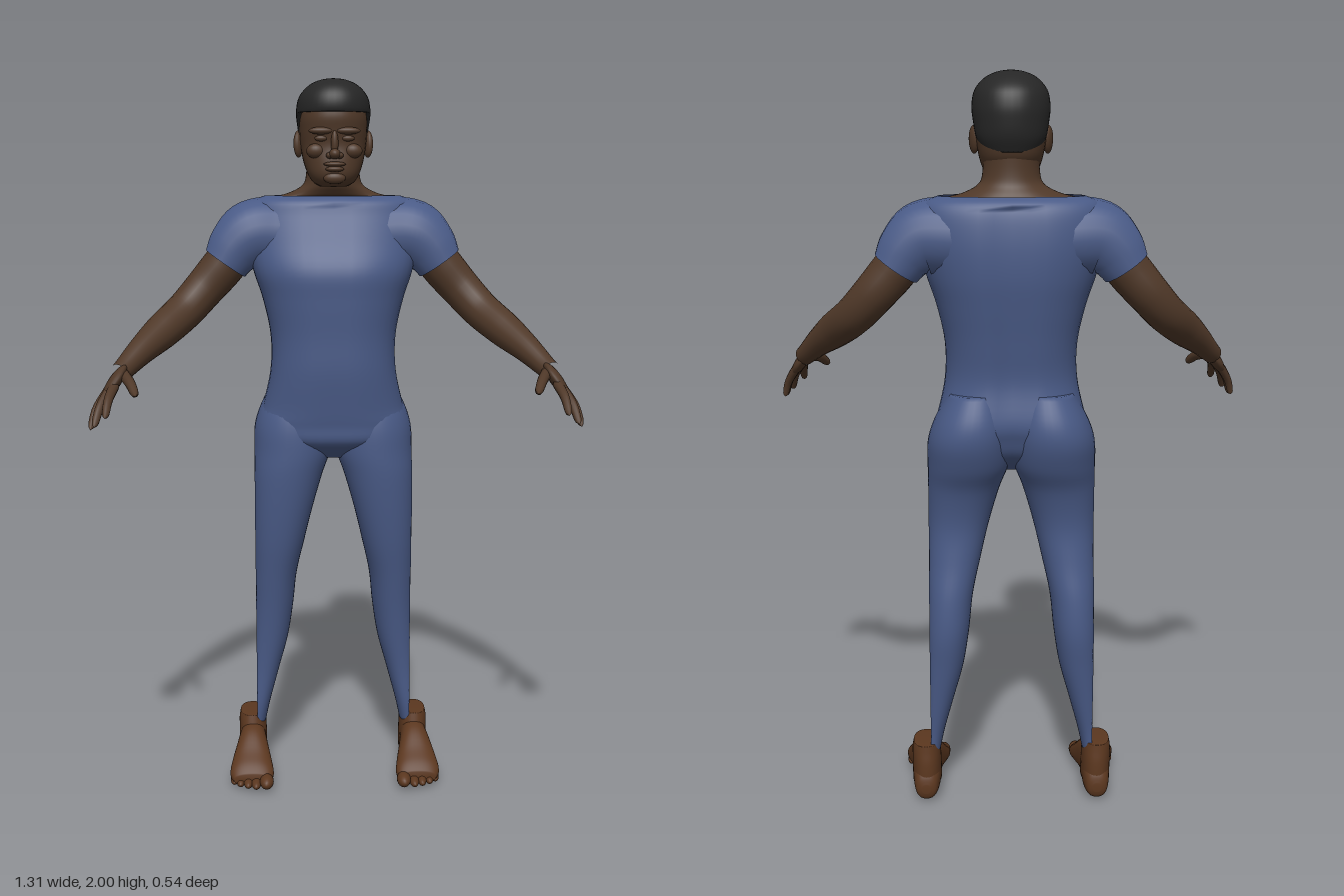
import * as THREE from 'three';

const mat = (name, color, side = THREE.FrontSide) => {
  const m = new THREE.MeshStandardMaterial({ color, side });
  m.name = name;
  return m;
};

// Smooth value of a column of control rows at parameter t (in rows)
function sample(rows, t) {
  const i = Math.min(Math.floor(t), rows.length - 2), f = t - i;
  const at = (k) => rows[Math.max(0, Math.min(rows.length - 1, k))];
  return rows[0].map((_, c) => {
    const [a, b, d, e] = [at(i - 1)[c], at(i)[c], at(i + 1)[c], at(i + 2)[c]];
    return b + 0.5 * f * (d - a + f * (2 * a - 5 * b + 4 * d - e + f * (3 * (b - d) + e - a)));
  });
}

// Stack of rounded rings; each row is [y, xMin, xMax, zFront, zBack], rising in y
function loft(rows, { power = 2.3, cap = true, shape = null, n = 40, steps = 5 } = {}) {
  const pos = [], idx = [], rings = (rows.length - 1) * steps + 1;
  const bend = (v) => Math.sign(v) * Math.abs(v) ** (2 / power);
  for (let i = 0; i < rings; i++) {
    const [y, x0, x1, zf, zb] = sample(rows, i / steps);
    for (let j = 0; j < n; j++) {
      const a = (j / n) * Math.PI * 2;
      const p = new THREE.Vector3((x0 + x1) / 2 + bend(Math.cos(a)) * (x1 - x0) / 2, y,
        (zf + zb) / 2 + bend(Math.sin(a)) * (zf - zb) / 2);
      if (shape) shape(p);
      pos.push(p.x, p.y, p.z);
      if (i < rings - 1) {
        const A = i * n + j, B = i * n + (j + 1) % n;
        idx.push(A, A + n, B, B, A + n, B + n);
      }
    }
  }
  if (cap) {
    for (const i of [0, rings - 1]) {
      const [y, x0, x1, zf, zb] = rows[i ? rows.length - 1 : 0];
      const c = pos.length / 3, p = new THREE.Vector3((x0 + x1) / 2, y, (zf + zb) / 2);
      if (shape) shape(p);
      pos.push(p.x, p.y, p.z);
      for (let j = 0; j < n; j++) {
        const A = i * n + j, B = i * n + (j + 1) % n;
        if (i) idx.push(c, B, A); else idx.push(c, A, B);
      }
    }
  }
  const g = new THREE.BufferGeometry();
  g.setAttribute('position', new THREE.Float32BufferAttribute(pos, 3));
  g.setIndex(idx);
  g.computeVertexNormals();
  return g;
}

// Symmetric rows [y, halfWidth, zFront, zBack]
const even = (rows) => rows.map(([y, w, f, b]) => [y, -w, w, f, b]);

// Tapered tube through points [x, y, z, radius], optionally with a rounded tip
function limb(points, tip = false, seg = 24, n = 20) {
  const curve = new THREE.CatmullRomCurve3(points.map((p) => new THREE.Vector3(p[0], p[1], p[2])));
  const g = new THREE.TubeGeometry(curve, seg, 1, n);
  const pos = g.attributes.position, v = new THREE.Vector3();
  const radii = points.map((p) => [p[3]]);
  for (let i = 0; i <= seg; i++) {
    const u = i / seg, c = curve.getPointAt(u);
    let r = sample(radii, curve.getUtoTmapping(u) * (points.length - 1))[0];
    if (tip && u > 0.82) r *= Math.sqrt(Math.max(0, 1 - ((u - 0.82) / 0.18) ** 2));
    for (let j = 0; j <= n; j++) {
      const k = i * (n + 1) + j;
      v.fromBufferAttribute(pos, k).sub(c).multiplyScalar(r).add(c);
      pos.setXYZ(k, v.x, v.y, v.z);
    }
  }
  return g;
}

export function createModel() {
  const suit = mat('blue suit', 0x495a86, THREE.DoubleSide);
  const skin = mat('brown skin', 0x4f3828);
  const footSkin = mat('foot brown', 0x5b371f);
  const hairMat = mat('black hair', 0x262626, THREE.DoubleSide);

  const model = new THREE.Group();
  model.name = 'standingFigure';
  const add = (parent, name, geo, m) => {
    const mesh = new THREE.Mesh(geo, m);
    mesh.name = name;
    parent.add(mesh);
    return mesh;
  };
  const blob = (parent, name, m, [x, y, z], [sx, sy, sz]) => {
    const b = add(parent, name, new THREE.SphereGeometry(1, 20, 14), m);
    b.position.set(x, y, z);
    b.scale.set(sx, sy, sz);
    return b;
  };

  // Torso, with a spine groove and a shallow chest line
  add(model, 'torso', loft(even([
    [0.95, 0.04, -0.06, -0.15], [1.0, 0.19, 0, -0.22], [1.05, 0.215, 0.008, -0.245],
    [1.1, 0.2, 0.015, -0.255], [1.2, 0.178, 0.026, -0.237], [1.3, 0.177, 0.027, -0.247],
    [1.4, 0.198, 0.031, -0.262], [1.48, 0.224, 0.03, -0.272], [1.56, 0.24, -0.005, -0.272],
    [1.63, 0.24, -0.035, -0.262], [1.668, 0.228, -0.05, -0.246], [1.685, 0.19, -0.075, -0.222],
  ]), {
    cap: false,
    shape: (p) => {
      const mid = Math.exp(-((p.x / 0.04) ** 2));
      if (p.y < 1.66) p.z += p.z < -0.13 ? 0.017 * mid : -0.005 * mid;
    },
  }), suit);

  // Neck spreading into the shoulders
  add(model, 'neck', loft(even([
    [1.655, 0.2, -0.075, -0.225], [1.678, 0.178, -0.085, -0.215], [1.692, 0.125, -0.075, -0.208],
    [1.715, 0.084, -0.06, -0.195], [1.75, 0.074, -0.055, -0.19], [1.8, 0.074, -0.06, -0.19],
  ]), { power: 2 }), skin);

  // Head and face
  const head = new THREE.Group();
  head.name = 'head';
  model.add(head);
  add(head, 'skull', loft(even([
    [1.71, 0.035, -0.025, -0.1], [1.722, 0.056, -0.005, -0.13], [1.745, 0.071, 0.006, -0.16],
    [1.78, 0.083, 0.004, -0.19], [1.82, 0.09, -0.002, -0.2], [1.86, 0.093, 0.004, -0.205],
    [1.9, 0.092, 0.008, -0.205], [1.95, 0.08, -0.01, -0.185], [1.98, 0.04, -0.05, -0.14],
  ])), skin);
  blob(head, 'noseTip', skin, [0, 1.797, 0.012], [0.015, 0.014, 0.019]);
  blob(head, 'noseBridge', skin, [0, 1.825, 0.004], [0.01, 0.034, 0.012]);
  blob(head, 'upperLip', skin, [0, 1.77, 0.008], [0.03, 0.007, 0.013]);
  blob(head, 'lowerLip', skin, [0, 1.757, 0.008], [0.025, 0.008, 0.013]);
  blob(head, 'chin', skin, [0, 1.733, -0.002], [0.03, 0.016, 0.014]);
  for (const s of [-1, 1]) {
    blob(head, 'nostril', skin, [s * 0.013, 1.793, 0.006], [0.011, 0.009, 0.012]);
    blob(head, 'brow', skin, [s * 0.036, 1.858, -0.003], [0.034, 0.01, 0.013]);
    blob(head, 'eyelid', skin, [s * 0.036, 1.838, -0.006], [0.018, 0.008, 0.008]);
    blob(head, 'cheek', skin, [s * 0.05, 1.805, -0.018], [0.026, 0.02, 0.018]);
    blob(head, 'ear', skin, [s * 0.096, 1.825, -0.1], [0.012, 0.037, 0.022]).rotation.set(-0.15, s * 0.35, 0);
  }

  // Cropped hair: hem high over the face, low behind the ears
  add(head, 'hair', loft(even([
    [1.795, 0.072, -0.06, -0.196], [1.83, 0.09, -0.03, -0.211], [1.87, 0.098, 0, -0.217],
    [1.91, 0.102, 0.024, -0.217], [1.95, 0.094, 0.02, -0.203], [1.98, 0.068, -0.005, -0.168],
    [1.995, 0.036, -0.045, -0.128], [2.0, 0.004, -0.085, -0.093],
  ]), {
    power: 2.15,
    shape: (p) => {
      p.y = Math.max(p.y, 1.795 + 0.113 * THREE.MathUtils.smoothstep(p.z, -0.115, -0.06));
    },
  }), hairMat);

  // Everything that is mirrored: arm, hand, leg and foot
  const side = new THREE.Group();
  side.name = 'leftLimbs';
  add(side, 'sleeve', limb([
    [0.1, 1.565, -0.145, 0.1], [0.17, 1.575, -0.143, 0.106], [0.228, 1.572, -0.137, 0.1],
    [0.272, 1.54, -0.135, 0.082], [0.302, 1.497, -0.134, 0.066],
  ]), suit);
  add(side, 'arm', limb([
    [0.26, 1.55, -0.135, 0.058], [0.31, 1.488, -0.134, 0.06], [0.365, 1.425, -0.128, 0.056],
    [0.415, 1.37, -0.098, 0.053], [0.475, 1.318, -0.025, 0.049], [0.528, 1.272, 0.045, 0.038],
    [0.565, 1.235, 0.095, 0.03], [0.578, 1.222, 0.115, 0.028],
  ], false, 40), skin);

  // Palm lies along the finger direction, its width running from index to little finger
  const palm = blob(side, 'palm', skin, [0.59, 1.202, 0.142], [0.017, 0.058, 0.043]);
  const along = new THREE.Vector3(0.045, -0.07, 0.075).normalize();
  const across = new THREE.Vector3(-0.025, 0.03, 0.06);
  across.addScaledVector(along, -across.dot(along)).normalize();
  palm.quaternion.setFromRotationMatrix(new THREE.Matrix4().makeBasis(
    new THREE.Vector3().crossVectors(along, across), along, across));
  const fingers = [
    ['thumb', [0.57, 1.222, 0.125], [0.545, 1.205, 0.185], [0.525, 1.177, 0.235], 0.014],
    ['indexFinger', [0.588, 1.195, 0.175], [0.598, 1.165, 0.23], [0.602, 1.125, 0.272], 0.012],
    ['middleFinger', [0.6, 1.185, 0.165], [0.622, 1.145, 0.215], [0.634, 1.098, 0.25], 0.012],
    ['ringFinger', [0.607, 1.18, 0.148], [0.635, 1.135, 0.188], [0.649, 1.085, 0.212], 0.0115],
    ['littleFinger', [0.608, 1.18, 0.13], [0.634, 1.135, 0.155], [0.646, 1.092, 0.168], 0.0105],
  ];
  for (const [name, a, b, c, r] of fingers) {
    add(side, name, limb([[...a, r * 1.15], [...b, r], [...c, r * 0.8]], true, 16, 12), skin);
  }

  // Trouser leg, trimmed flat on its outer side
  add(side, 'trouserLeg', loft([
    [0.14, 0.2, 0.25, -0.092, -0.188], [0.2, 0.187, 0.25, -0.086, -0.19], [0.3, 0.16, 0.246, -0.084, -0.203],
    [0.4, 0.133, 0.241, -0.075, -0.217], [0.5, 0.117, 0.237, -0.062, -0.229], [0.6, 0.106, 0.234, -0.045, -0.222],
    [0.7, 0.084, 0.232, -0.026, -0.202], [0.8, 0.06, 0.23, -0.012, -0.193], [0.9, 0.031, 0.23, -0.002, -0.213],
    [0.97, 0.006, 0.228, 0, -0.247], [1.04, 0.001, 0.224, -0.004, -0.27], [1.1, 0.006, 0.204, -0.02, -0.267],
    [1.17, 0.025, 0.165, -0.06, -0.238],
  ], { power: 2.15, shape: (p) => { p.x = Math.min(p.x, 0.226); } }), suit);

  // Foot: lofted heel to toe, then laid down
  add(side, 'foot', loft([
    [-0.215, 0.228, 0.252, -0.03, -0.055], [-0.205, 0.211, 0.269, -0.01, -0.085],
    [-0.17, 0.201, 0.277, -0.001, -0.125], [-0.12, 0.2, 0.278, -0.002, -0.145],
    [-0.06, 0.194, 0.286, -0.006, -0.135], [0, 0.182, 0.3, -0.004, -0.092],
    [0.035, 0.178, 0.303, -0.003, -0.068], [0.06, 0.186, 0.292, -0.012, -0.045],
  ]).rotateX(Math.PI / 2), footSkin);
  add(side, 'ankle', loft([
    [0.05, 0.198, 0.28, -0.06, -0.21], [0.11, 0.199, 0.28, -0.073, -0.208],
    [0.145, 0.201, 0.28, -0.082, -0.203], [0.167, 0.205, 0.276, -0.088, -0.2],
  ]), footSkin);
  for (let i = 0; i < 5; i++) {
    const r = i ? 0.0145 - i * 0.0007 : 0.02;
    blob(side, 'toe', footSkin, [[0.198, 0.228, 0.251, 0.273, 0.291][i], r + 0.006, 0.064 - i * i * 0.0022],
      [r, r, 0.035 - i * 0.002]);
  }
  model.add(side);
  const other = side.clone();
  other.name = 'rightLimbs';
  other.scale.x = -1;
  model.add(other);
  return model;
}
